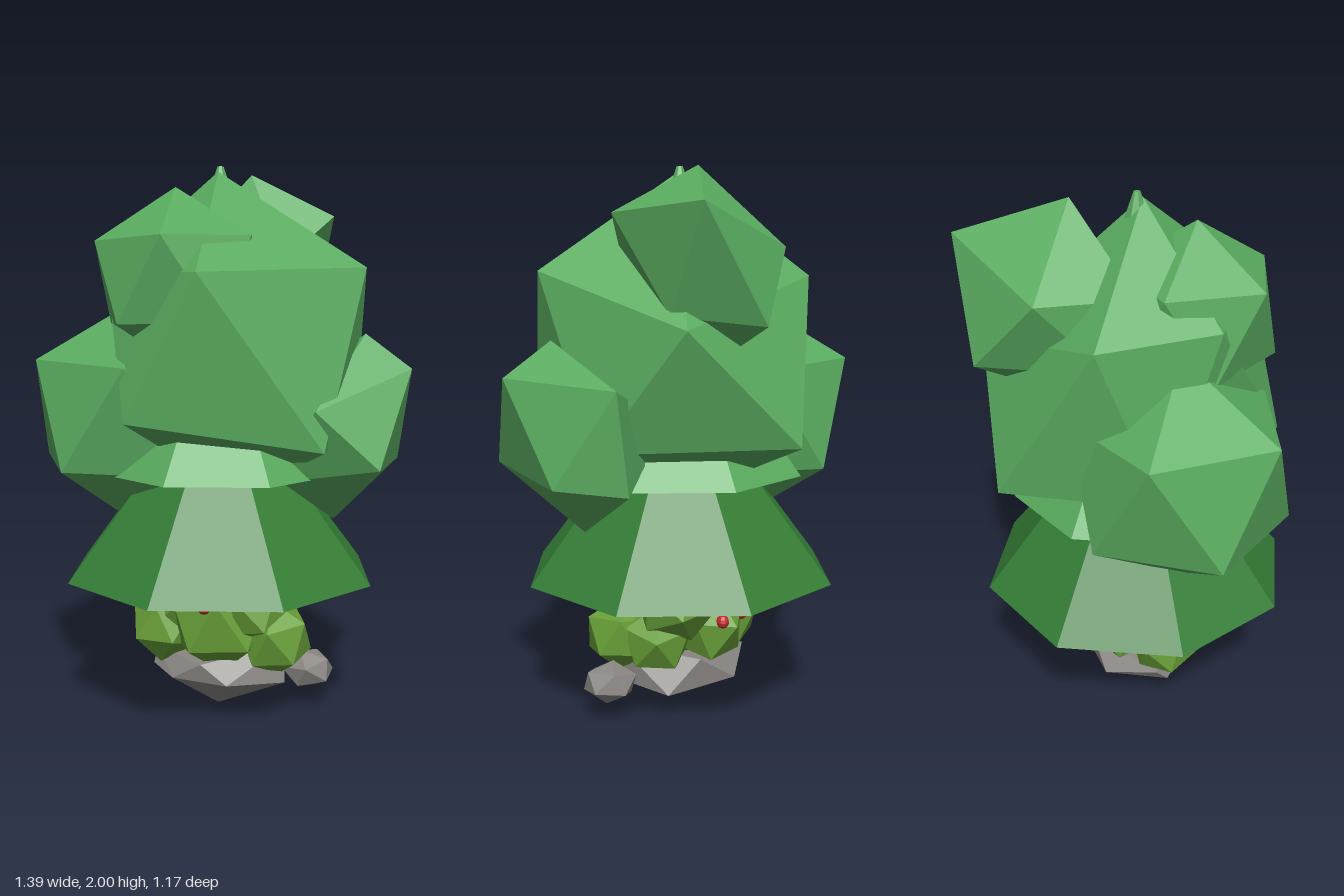
import * as THREE from 'three';
import { ConvexGeometry } from 'three/addons/geometries/ConvexGeometry.js';

const mat = (name, color) => new THREE.MeshStandardMaterial({ name, color, flatShading: true });

// Irregular faceted lump around a few corner points
const lump = (points) => new ConvexGeometry(points.map((p) => new THREE.Vector3(...p)));

// Orthonormal basis from a pole direction and a neighbouring direction
function basis(pole, next) {
  const a = pole.clone().normalize();
  const b = next.clone().addScaledVector(a, -next.dot(a)).normalize();
  return new THREE.Matrix4().makeBasis(a, b, a.clone().cross(b));
}

// Icosahedron with one corner towards pole and an adjacent corner towards next
function icosa(radius, pole, next) {
  const t = (1 + Math.sqrt(5)) / 2;
  const from = basis(new THREE.Vector3(-1, t, 0), new THREE.Vector3(1, t, 0));
  const to = basis(new THREE.Vector3(...pole), new THREE.Vector3(...next));
  return new THREE.IcosahedronGeometry(radius, 0).applyMatrix4(to.multiply(from.invert()));
}

export function createModel() {
  const model = new THREE.Group();
  const leaf = mat('leafGreen', 0x59ab5f);
  const skirtGreen = mat('darkGreen', 0x357e36);
  const bushGreen = mat('bushGreen', 0x689f38);
  const stone = mat('stoneGrey', 0x8a8783);
  const red = mat('berryRed', 0xc02c2e);

  const add = (name, geometry, material, pos = [0, 0, 0], parent = model) => {
    const mesh = new THREE.Mesh(geometry, material);
    mesh.name = name;
    mesh.position.set(...pos);
    parent.add(mesh);
  };
  const group = (name) => {
    const g = new THREE.Group();
    g.name = name;
    model.add(g);
    return g;
  };

  // Eight-sided tree tiers
  add('lowerTier', new THREE.ConeGeometry(0.585, 0.75, 8), skirtGreen, [0, 0.895, 0]);
  add('middleTier', new THREE.ConeGeometry(0.465, 0.62, 8), leaf, [0, 1.222, 0]);
  add('treeTip', new THREE.CylinderGeometry(0.012, 0.085, 0.2, 8), leaf, [0, 1.9, 0]);

  // Irregular foliage clumps, from the top corner down
  const crown = group('crown');
  add('mainClump', lump([
    [0, 1.98, 0.02],
    [0.54, 1.64, -0.03], [0.12, 1.62, 0.46], [-0.37, 1.63, 0.18], [-0.39, 1.62, -0.25], [0.2, 1.46, -0.51],
    [0.48, 1.02, 0.22], [-0.13, 1.12, 0.5], [-0.43, 1.04, -0.03], [-0.2, 1.06, -0.55], [0.43, 1.04, -0.28],
    [0.05, 0.8, -0.05],
  ]), leaf, [0, 0, 0], crown);
  add('backTopClump', lump([
    [0.03, 1.99, -0.22], [0.18, 1.86, -0.59], [0.35, 1.83, -0.24], [-0.21, 1.72, -0.4], [-0.19, 1.7, -0.05],
    [0.23, 1.66, -0.03], [-0.05, 1.47, -0.58], [0.22, 1.5, -0.42], [0.05, 1.3, -0.3], [-0.2, 1.45, -0.15],
  ]), leaf, [0, 0, 0], crown);
  add('leftClump', lump([
    [0.52, 1.41, -0.1], [0.69, 1.29, -0.1], [0.41, 1.27, -0.43], [0.45, 1.16, 0.23], [0.65, 0.96, 0.14],
    [0.59, 0.94, -0.31], [0.37, 0.92, -0.43], [0.41, 0.73, -0.1], [0.3, 0.9, 0.15], [0.1, 1.1, -0.1],
  ]), leaf, [0, 0, 0], crown);

  // Regular foliage clumps: name, centre, radius, pole, neighbouring corner
  [
    ['rightClump', [-0.31, 1.11, 0.07], 0.425, [-0.39, -0.18, 0.02], [-0.27, 0.22, 0.24]],
    ['frontTopClump', [-0.08, 1.595, 0.18], 0.322, [-0.01, 0.31, 0], [0.073, 0.13, 0.28]],
  ].forEach(([name, pos, r, p, n]) => add(name, icosa(r, p, n), leaf, pos, crown));

  // Bush under the tree: centre, radius, pole, neighbouring corner
  const bush = group('bush');
  [
    [[-0.21, 0.29, 0.05], 0.14, [-0.11, 0.07, 0.03], [0.05, 0.08, 0.1]],
    [[0.02, 0.34, 0.04], 0.205, [0.05, 0.1, 0.16], [-0.12, 0.08, 0.1]],
    [[0.23, 0.29, 0.02], 0.145, [0.12, 0.07, 0.02], [0.02, 0.05, 0.14]],
    [[0.07, 0.45, -0.13], 0.165, [0.13, 0.06, -0.05], [0.02, -0.05, -0.15]],
    [[-0.12, 0.39, 0.02], 0.15, [-0.1, 0.08, 0.07], [0.03, 0.04, 0.14]],
    [[0.16, 0.4, 0.05], 0.14, [0.1, 0.08, 0.05], [-0.02, 0.05, 0.13]],
    [[-0.08, 0.31, -0.08], 0.15, [-0.05, 0.02, -0.12], [-0.12, 0.05, 0.02]],
    [[0.13, 0.29, -0.08], 0.14, [0.05, 0.02, -0.12], [0.12, 0.05, 0.02]],
  ].forEach(([pos, r, p, n]) => add('bushClump', icosa(r, p, n), bushGreen, pos, bush));

  // Berries
  [
    [-0.22, 0.473, 0.07], [0.03, 0.43, 0.21], [-0.2, 0.35, -0.12], [-0.07, 0.37, -0.23],
  ].forEach((pos) => add('berry', new THREE.SphereGeometry(0.025, 8, 6), red, pos));

  // Flat base stone and a small one beside it
  const stones = group('stones');
  add('baseStone', lump([
    [0, 0, 0.02],
    [-0.26, 0.13, 0.05], [-0.15, 0.12, -0.17], [0.13, 0.1, -0.19], [0.27, 0.12, 0.02], [0.1, 0.13, 0.17],
    [-0.12, 0.13, 0.17], [0.26, 0.26, 0], [-0.27, 0.18, 0], [0, 0.2, 0.18], [0, 0.22, -0.19],
  ]), stone, [0, 0, 0], stones);
  add('smallStone', icosa(1, [1, 0.8, 0.1], [0.5, -0.8, 0.4]).scale(0.105, 0.075, 0.1), stone, [0.32, 0.15, -0.09], stones);

  return model;
}
